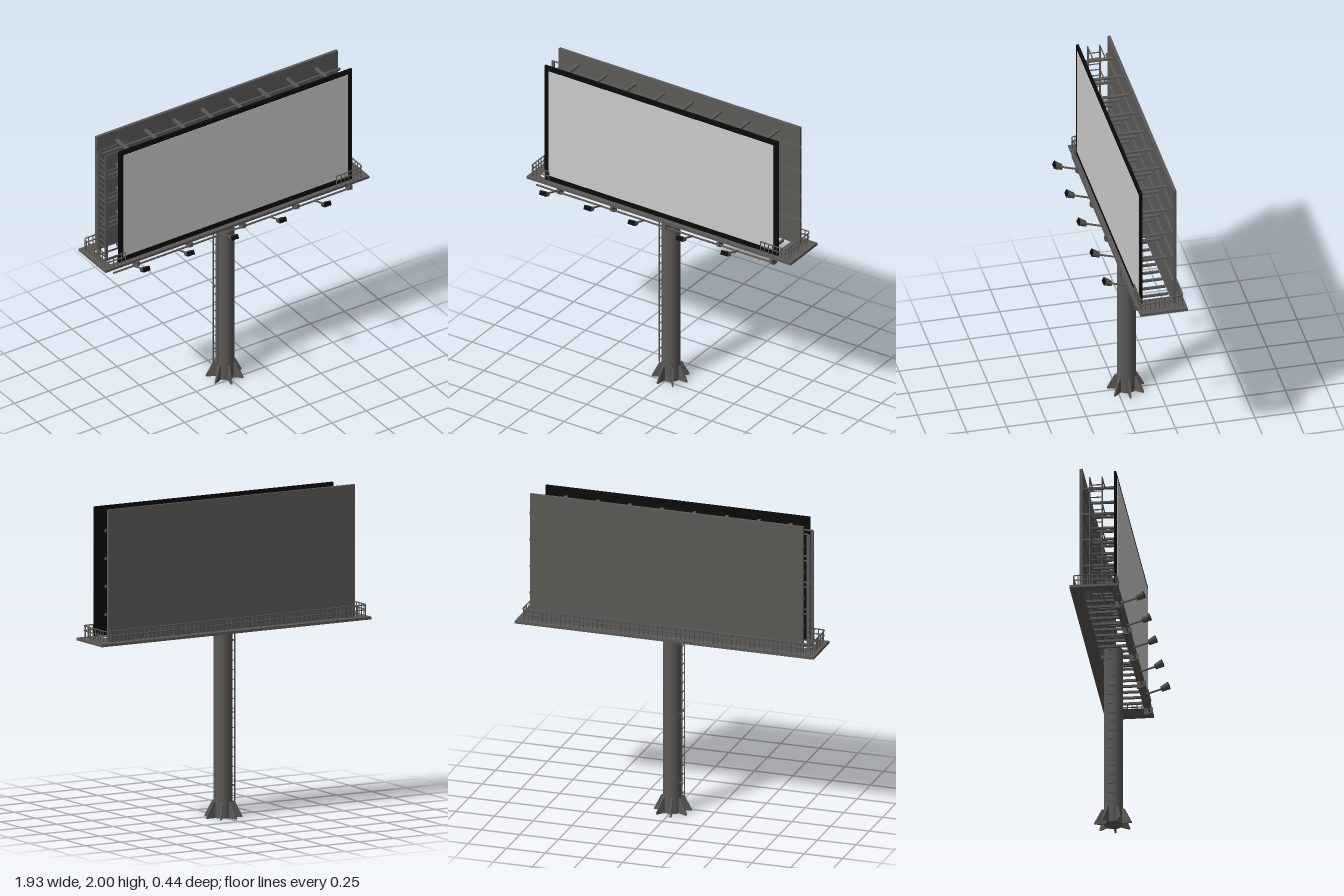
import * as THREE from 'three';

const mat = (name, color) => {
  const m = new THREE.MeshStandardMaterial({ color });
  m.name = name;
  return m;
};

export function createModel() {
  const root = new THREE.Group();
  root.name = 'billboard';
  const steel = mat('steel', 0x5c5a57);
  const black = mat('black', 0x0b0b0b);
  const white = mat('screenGrey', 0xcbcbcb);

  const group = (name) => {
    const g = new THREE.Group();
    g.name = name;
    root.add(g);
    return g;
  };
  const add = (parent, name, geo, material) => {
    const m = new THREE.Mesh(geo, material);
    m.name = name;
    parent.add(m);
    return m;
  };
  // Box given by its minimum and maximum on each axis
  const box = (parent, name, x0, x1, y0, y1, z0, z1, material = steel) => {
    const m = add(parent, name, new THREE.BoxGeometry(x1 - x0, y1 - y0, z1 - z0), material);
    m.position.set((x0 + x1) / 2, (y0 + y1) / 2, (z0 + z1) / 2);
    return m;
  };
  // Round bar between two points
  const bar = (parent, name, a, b, r, sides = 8) => {
    const p = new THREE.Vector3(...a), q = new THREE.Vector3(...b);
    const d = q.clone().sub(p);
    const m = add(parent, name, new THREE.CylinderGeometry(r, r, d.length(), sides), steel);
    m.position.copy(p).add(q).multiplyScalar(0.5);
    m.quaternion.setFromUnitVectors(new THREE.Vector3(0, 1, 0), d.normalize());
    return m;
  };

  // Pole with seven tapered base fins
  const poleZ = -0.06;
  const pole = group('pole');
  add(pole, 'column', new THREE.CylinderGeometry(0.058, 0.058, 1.178, 32), steel).position.set(0, 0.589, poleZ);
  const finShape = new THREE.Shape([[0.03, 0], [0.118, 0], [0.118, 0.008], [0.072, 0.1], [0.03, 0.1]]
    .map(([x, y]) => new THREE.Vector2(x, y)));
  const finGeo = new THREE.ExtrudeGeometry(finShape, { depth: 0.01, bevelEnabled: false });
  finGeo.translate(0, 0, -0.005);
  for (let i = 0; i < 7; i++) {
    const fin = add(pole, 'baseFin', finGeo, steel);
    fin.position.z = poleZ;
    fin.rotation.y = (i * Math.PI * 2) / 7;
  }

  // Ladder up the pole
  const poleLadder = group('poleLadder');
  for (const z of [poleZ - 0.025, poleZ + 0.025]) box(poleLadder, 'stile', -0.072, -0.066, 0.1, 1.17, z - 0.003, z + 0.003);
  for (let y = 0.13; y < 1.16; y += 0.06) {
    bar(poleLadder, 'rung', [-0.069, y, poleZ - 0.025], [-0.069, y, poleZ + 0.025], 0.003, 6);
  }
  for (const y of [0.2, 0.65, 1.1]) {
    for (const z of [poleZ - 0.025, poleZ + 0.025]) box(poleLadder, 'standoff', -0.069, -0.045, y - 0.003, y + 0.003, z - 0.003, z + 0.003);
  }

  // Platform: a deck with a long opening crossed by slats
  const platform = group('platform');
  const rect = (C, x0, x1, z0, z1) => new C([[x0, -z0], [x1, -z0], [x1, -z1], [x0, -z1]]
    .map(([x, y]) => new THREE.Vector2(x, y)));
  const deckShape = rect(THREE.Shape, -0.965, 0.965, -0.22, 0.078);
  deckShape.holes.push(rect(THREE.Path, -0.9, 0.82, -0.142, 0.032));
  const deckGeo = new THREE.ExtrudeGeometry(deckShape, { depth: 0.017, bevelEnabled: false });
  deckGeo.rotateX(-Math.PI / 2);
  add(platform, 'deck', deckGeo, steel).position.y = 1.163;
  for (let i = 0; i < 19; i++) {
    const x = -0.735 + i * 0.0832;
    if (Math.abs(x) > 0.062) box(platform, 'slat', x - 0.007, x + 0.007, 1.164, 1.178, -0.145, 0.035);
  }
  for (const x of [-0.075, 0.075]) box(platform, 'poleBeam', x - 0.007, x + 0.007, 1.164, 1.178, -0.145, 0.035);
  for (const z of [poleZ - 0.045, poleZ + 0.03]) box(platform, 'hatchBar', -0.9, -0.735, 1.166, 1.176, z - 0.003, z + 0.003);

  // Front display panel and plain back panel
  const display = group('frontPanel');
  box(display, 'blackFrame', -0.85, 0.855, 1.185, 1.987, 0.04, 0.055, black);
  box(display, 'screen', -0.817, 0.823, 1.222, 1.957, 0.053, 0.058, white);
  box(root, 'backPanel', -0.88, 0.885, 1.178, 2, -0.166, -0.148);

  // Struts joining the panels, and rails behind the back panel
  const frame = group('panelFrame');
  const levels = [1.41, 1.585, 1.757, 1.93];
  for (const y of levels) {
    for (let i = 0; i < 8; i++) {
      const x = -0.735 + i * 0.208;
      box(frame, 'strut', x - 0.01, x + 0.01, y - 0.006, y + 0.006, -0.15, 0.042);
    }
    box(frame, 'panelRail', -0.88, 0.895, y - 0.07, y - 0.056, -0.149, -0.136);
  }

  // Access ladder at the right-hand end of the panels
  const ladder = group('panelLadder');
  for (const z of [-0.103, -0.027]) {
    box(ladder, 'stile', -0.9, -0.88, 1.17, 1.93, z - 0.004, z + 0.004);
    for (const y of levels) box(ladder, 'bracket', -0.895, -0.735, y - 0.004, y + 0.004, z - 0.003, z + 0.003);
  }
  for (let y = 1.21; y < 1.92; y += 0.042) bar(ladder, 'rung', [-0.89, y, -0.103], [-0.89, y, -0.027], 0.004, 6);

  // Guard rail around the back and sides, returning a little along the front
  const railing = group('guardRail');
  const railPoints = [[-0.81, 0.065], [-0.942, 0.065], [-0.942, -0.2], [0.925, -0.2], [0.925, 0.065], [0.735, 0.065]]
    .map(([x, z]) => new THREE.Vector3(x, 0, z));
  const path = new THREE.CurvePath();
  let from = railPoints[0];
  for (let i = 1; i < railPoints.length; i++) {
    const corner = railPoints[i];
    if (i === railPoints.length - 1) {
      path.add(new THREE.LineCurve3(from, corner));
      break;
    }
    const step = (target) => corner.clone().add(target.clone().sub(corner).setLength(0.02));
    const a = step(railPoints[i - 1]), b = step(railPoints[i + 1]);
    path.add(new THREE.LineCurve3(from, a));
    path.add(new THREE.QuadraticBezierCurve3(a, corner, b));
    from = b;
  }
  const railGeo = new THREE.TubeGeometry(path, 260, 0.004, 6, false);
  for (const y of [1.253, 1.222]) add(railing, 'rail', railGeo, steel).position.y = y;
  const balusterGeo = new THREE.CylinderGeometry(0.003, 0.003, 0.076, 6);
  const count = Math.round(path.getLength() / 0.03);
  for (let i = 0; i <= count; i++) {
    const p = path.getPointAt(i / count);
    add(railing, 'baluster', balusterGeo, steel).position.set(p.x, 1.216, p.z);
  }

  // Conduit under the front edge with its hanger boxes
  const conduit = group('lightConduit');
  bar(conduit, 'pipe', [-0.9, 1.135, 0.068], [0.83, 1.135, 0.068], 0.006);
  const hangerShape = new THREE.Shape([[0.035, 1.165], [0.035, 1.12], [0.065, 1.12], [0.088, 1.135], [0.088, 1.165]]
    .map(([z, y]) => new THREE.Vector2(-z, y)));
  const hangerGeo = new THREE.ExtrudeGeometry(hangerShape, { depth: 0.018, bevelEnabled: false });
  hangerGeo.rotateY(Math.PI / 2).translate(-0.009, 0, 0);
  for (let i = 0; i < 5; i++) add(conduit, 'hanger', hangerGeo, steel).position.x = -0.73 + i * 0.389;

  // Floodlights on arms, tilted up towards the display
  const headGeo = new THREE.CylinderGeometry(0.037, 0.026, 0.05, 4, 1);
  headGeo.rotateY(Math.PI / 4).scale(1, 1, 0.55).rotateX(Math.PI / 2);
  for (const x of [-0.755, -0.43, -0.108, 0.243, 0.57]) {
    const lamp = group('floodlight');
    lamp.position.x = x;
    bar(lamp, 'arm', [0, 1.137, 0.068], [0, 1.172, 0.18], 0.006);
    const head = new THREE.Group();
    head.name = 'lampHead';
    head.position.set(0, 1.179, 0.19);
    head.rotation.x = -0.45;
    lamp.add(head);
    add(head, 'housing', headGeo, steel);
    box(head, 'lens', -0.025, 0.025, -0.014, 0.014, 0.0245, 0.03, black);
  }
  return root;
}
